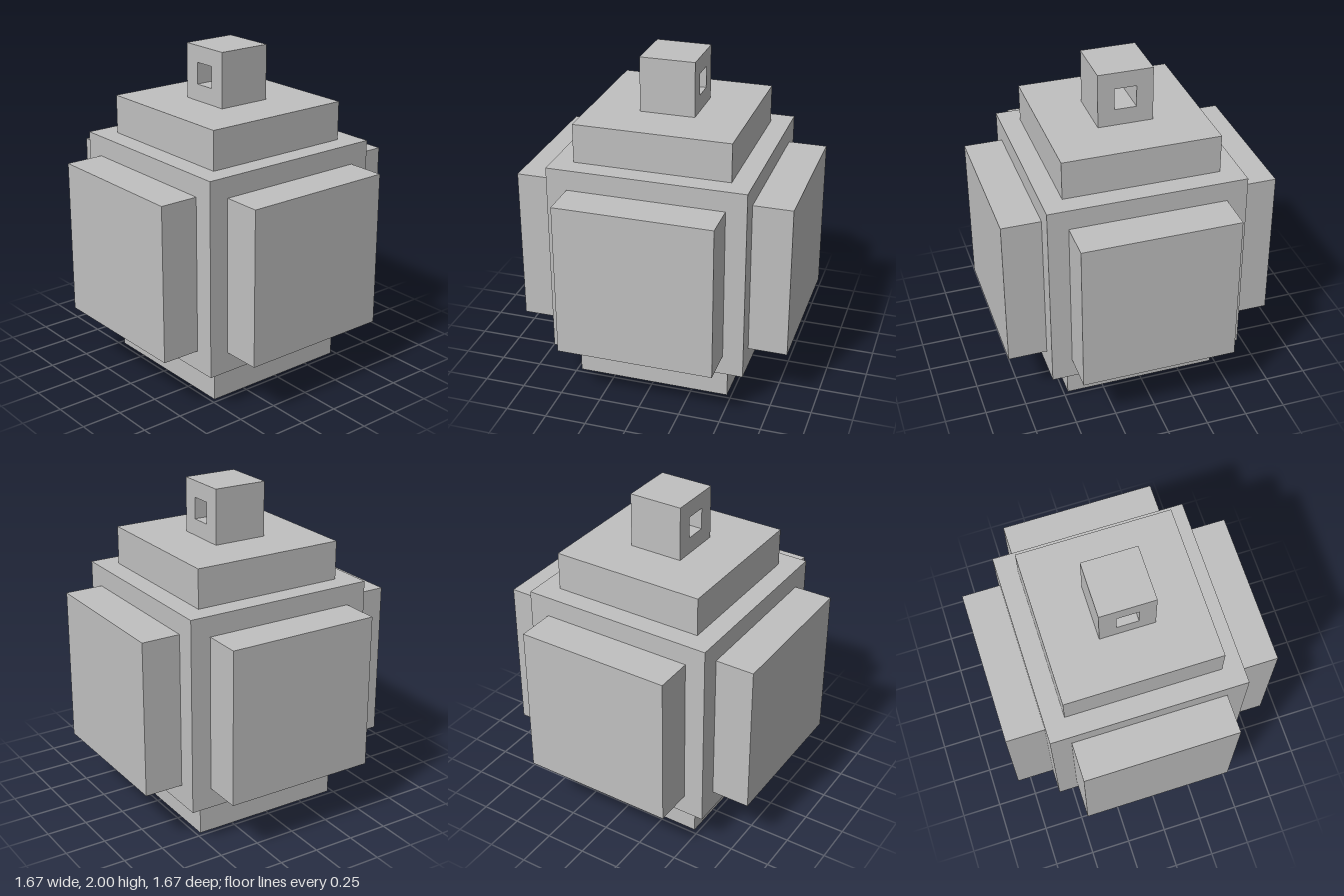
import * as THREE from 'three';

export function createModel() {
  const group = new THREE.Group();
  const grey = new THREE.MeshStandardMaterial({ color: 0xc0c0c0 });
  grey.name = 'plain grey';

  const CORE = 1.194, PANEL = 0.947, DEPTH = 0.236, CENTRE_Y = 0.833;

  const add = (name, geometry, x, y, z) => {
    const mesh = new THREE.Mesh(geometry, grey);
    mesh.name = name;
    mesh.position.set(x, y, z);
    group.add(mesh);
  };

  // Central cube
  add('core', new THREE.BoxGeometry(CORE, CORE, CORE), 0, CENTRE_Y, 0);

  // One raised square panel on each of the six faces
  const offset = (CORE + DEPTH) / 2;
  const faces = [
    ['leftPanel', 1, 0, 0], ['rightPanel', -1, 0, 0],
    ['topPanel', 0, 1, 0], ['basePanel', 0, -1, 0],
    ['frontPanel', 0, 0, 1], ['backPanel', 0, 0, -1],
  ];
  for (const [name, x, y, z] of faces) {
    const size = [x, y, z].map((n) => (n ? DEPTH : PANEL));
    add(name, new THREE.BoxGeometry(...size), x * offset, CENTRE_Y + y * offset, z * offset);
  }

  // Hanging block with a square hole from front to back
  const square = (path, h) => {
    path.moveTo(-h, -h);
    path.lineTo(h, -h);
    path.lineTo(h, h);
    path.lineTo(-h, h);
    path.closePath();
    return path;
  };
  const H = 0.167;
  const outline = square(new THREE.Shape(), H);
  outline.holes.push(square(new THREE.Path(), 0.066));
  const loop = new THREE.ExtrudeGeometry(outline, { depth: 2 * H, bevelEnabled: false });
  add('hangingLoop', loop, 0, 2 - H, -H);

  return group;
}
